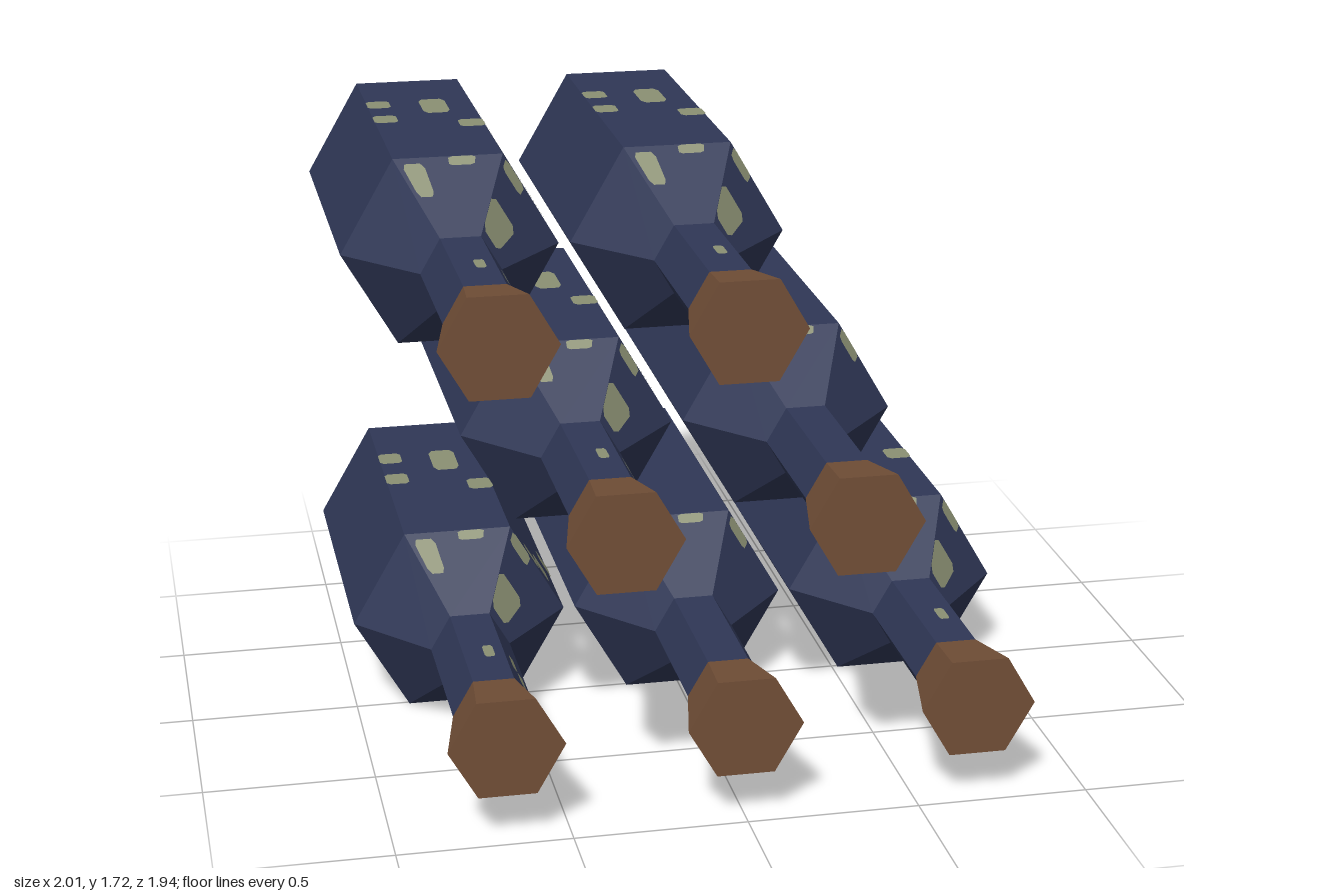
import * as THREE from 'three';

const glass = new THREE.MeshStandardMaterial({ color: 0x2f3756, flatShading: true });
glass.name = 'darkBlueGlass';
const cork = new THREE.MeshStandardMaterial({ color: 0x724f37, flatShading: true });
cork.name = 'brownCork';
const shine = new THREE.MeshStandardMaterial({ color: 0x8b9073, flatShading: true });
shine.name = 'paleGreenFleck';

// Bottle profile along z: [z, corner radius]
const PROFILE = [[-0.97, 0.322], [0.01, 0.322], [0.25, 0.118], [0.73, 0.118], [0.97, 0.166]];

function radiusAt(z) {
  for (let i = 1; i < PROFILE.length; i++) {
    const [z0, r0] = PROFILE[i - 1], [z1, r1] = PROFILE[i];
    if (z <= z1) return r0 + (r1 - r0) * (z - z0) / (z1 - z0);
  }
  return PROFILE[PROFILE.length - 1][1];
}

// One hexagonal stage of the bottle between profile points i and i + 1
function stage(name, i, material) {
  const [z0, r0] = PROFILE[i], [z1, r1] = PROFILE[i + 1];
  const geo = new THREE.CylinderGeometry(r1, r0, z1 - z0, 6, 1, false, Math.PI / 2);
  geo.rotateX(Math.PI / 2).translate(0, 0, (z0 + z1) / 2);
  const mesh = new THREE.Mesh(geo, material);
  mesh.name = name;
  return mesh;
}

// Point on a side: f runs 0..1 around the side, z along the bottle
function onSide(side, f, z) {
  const r = radiusAt(z) + 0.003;
  const a = side * Math.PI / 3, b = a + Math.PI / 3;
  return [
    r * (Math.cos(a) * (1 - f) + Math.cos(b) * f),
    r * (Math.sin(a) * (1 - f) + Math.sin(b) * f),
    z,
  ];
}

// Flecks: [side, f0, f1, z0, z1]; side 0 is upper +x, side 1 is the top
const RIM_FLECKS = [
  [1, 0.25, 0.5, 0.013, 0.04],
  [0, 0.62, 0.95, 0.013, 0.045],
];
const FLECKS = [
  ...RIM_FLECKS,
  [1, 0.78, 1, -0.70, -0.61], [1, 0.78, 1, -0.51, -0.42],
  [1, 0.25, 0.5, -0.70, -0.52], [1, 0, 0.235, -0.42, -0.33],
  [0, 0.72, 1, -0.59, -0.50], [0, 0, 0.23, -0.32, -0.23],
  [0, 0.22, 0.48, -0.13, -0.04], [0, 0.46, 0.72, -0.05, 0.008],
  [0, 0.4, 1, 0.13, 0.23], [1, 0.74, 0.95, 0.03, 0.13],
  [0, 0.5, 0.74, 0.50, 0.59], [0, 0.28, 0.52, 0.58, 0.66],
  [1, 0.25, 0.5, 0.49, 0.57],
];

// Flecks as flat plates with clipped corners
function fleckGeometry(list) {
  const positions = [];
  const c = 0.15;
  const outline = [[c, 0], [1 - c, 0], [1, c], [1, 1 - c], [1 - c, 1], [c, 1], [0, 1 - c], [0, c]];
  for (const [side, f0, f1, z0, z1] of list) {
    const pts = outline.map(([u, v]) => onSide(side, f0 + (f1 - f0) * u, z0 + (z1 - z0) * v));
    for (let i = 1; i < pts.length - 1; i++) positions.push(...pts[0], ...pts[i], ...pts[i + 1]);
  }
  const geo = new THREE.BufferGeometry();
  geo.setAttribute('position', new THREE.Float32BufferAttribute(positions, 3));
  geo.computeVertexNormals();
  return geo;
}

function bottle(flecks) {
  const g = new THREE.Group();
  g.name = 'bottle';
  g.add(stage('body', 0, glass), stage('shoulder', 1, glass), stage('neck', 2, glass), stage('cork', 3, cork));
  const marks = new THREE.Mesh(fleckGeometry(flecks), shine);
  marks.name = 'flecks';
  g.add(marks);
  return g;
}

export function createModel() {
  const model = new THREE.Group();
  model.name = 'bottleStack';
  // Stacked rows: x centres from bottom to top
  const rows = [[-0.679, 0, 0.679], [-0.34, 0.34], [-0.679, 0]];
  rows.forEach((xs, row) => {
    for (const x of xs) {
      const plain = (row === 0 && x === 0) || (row === 1 && x > 0);
      const b = bottle(plain ? RIM_FLECKS : FLECKS);
      b.position.set(x, 0.28 + row * 0.582, 0);
      model.add(b);
    }
  });
  return model;
}
